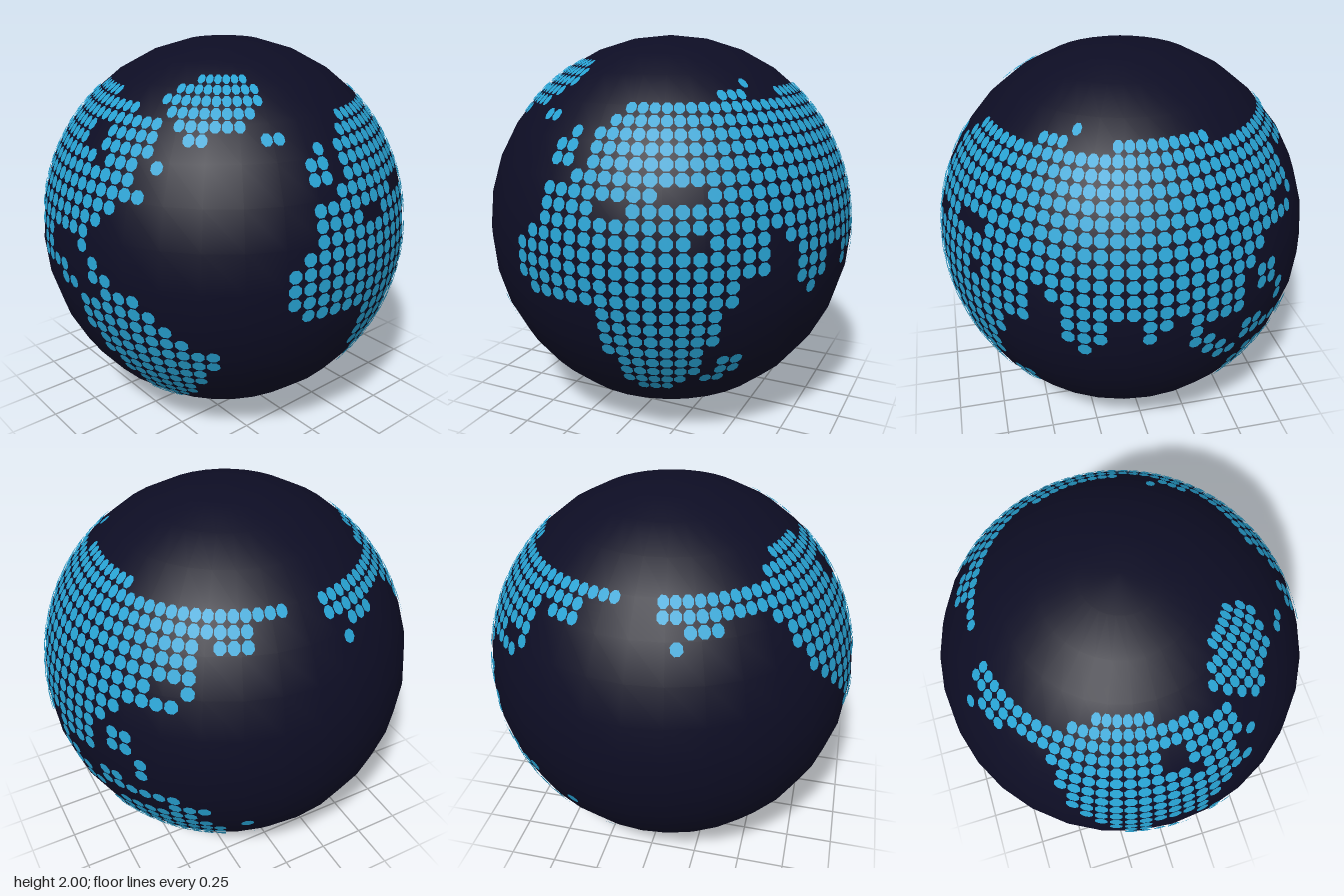
import * as THREE from 'three';
import { mergeGeometries } from 'three/addons/utils/BufferGeometryUtils.js';

const COLUMN = 360 / 82, COLUMN_START = -0.6, ROW = 4; // dot grid in degrees
const SIZE = new THREE.Vector3(0.98, 0.998, 0.984);

// Land as row number (4 degrees each, 0 = equator): flat list of longitude runs, from/to.
// Longitude is 0 at the front and 90 at +x.
const northAmerica = {
  15: [37, 60], 14: [29, 64], 13: [-27, -5, 25, 66], 12: [-34, 14, 28, 60],
  11: [-81, -4, -1, 25, 33, 55], 10: [-80, -3, 9, 25, 38, 45, 65, 68],
  9: [-72, -60, -42, -3, 9, 25], 8: [-75, -74, -37, -3, -1, 4, 12, 22, 30, 31],
  7: [-35, 4, 9, 22], 6: [-33, 25], 5: [-31, 17], 4: [-28, 13], 3: [-23, 8],
  2: [-18, -9, 8, 8], 1: [-14, -9, 12, 13], 0: [-14, -9, -5, 0, 12, 17], '-1': [-1, 4],
};
const southAmerica = {
  '-1': [17, 26], '-2': [8, 8, 12, 30], '-3': [8, 8, 13, 34], '-4': [8, 8, 13, 40],
  '-5': [13, 49], '-6': [13, 46], '-7': [17, 45], '-8': [18, 44], '-9': [21, 41],
  '-10': [21, 38], '-11': [22, 36], '-12': [19, 32], '-13': [17, 27], '-14': [17, 25], '-15': [17, 22],
};
const africa = {
  4: [83, 92], 3: [77, 116], 2: [73, 118], 1: [70, 122], 0: [70, 127], '-1': [70, 133],
  '-2': [74, 130], '-3': [96, 128], '-4': [96, 126], '-5': [96, 125], '-6': [97, 124],
  '-7': [99, 124, 132, 134], '-8': [100, 122, 131, 134], '-9': [102, 118, 128, 131], '-10': [104, 112],
};
const eurasia = {
  13: [148, 150], 12: [135, 146, 165, 200], 11: [99, 121, 128, 264], 10: [96, 250],
  9: [83, 83, 92, 232, 241, 249], 8: [79, 84, 92, 232], 7: [78, 84, 90, 232],
  6: [87, 217, 231, 232], 5: [78, 111, 127, 213, 221, 226], 4: [78, 80, 104, 208],
  3: [121, 207], 2: [125, 141, 147, 203, 212, 213], 1: [128, 141, 151, 166, 172, 200, 212, 213],
  0: [131, 138, 152, 163, 174, 179, 187, 191, 199, 200, 217, 218],
  '-1': [154, 160, 173, 175, 188, 190, 217, 218], '-2': [157, 159],
};
const oceania = {
  '-2': [190, 193, 204, 208], '-3': [192, 197, 204, 208, 216, 218, 224, 227],
  '-4': [197, 200, 227, 236], '-5': [212, 218, 222, 234], '-6': [207, 236, 249, 250],
  '-7': [204, 239], '-8': [204, 241], '-9': [205, 212, 219, 240],
  '-10': [228, 239, 254, 259], '-11': [234, 237, 251, 255], '-12': [248, 251],
};

// One flat eight-sided dot lying on the globe
function dot(lat, lon) {
  const phi = THREE.MathUtils.degToRad(lat), theta = THREE.MathUtils.degToRad(lon);
  const spacing = 0.98 * Math.cos(phi) * THREE.MathUtils.degToRad(COLUMN);
  const disc = new THREE.CircleGeometry(0.0345, 8, Math.PI / 8);
  disc.scale(Math.min(1, spacing * 0.5 / 0.0345), 1, 1);
  disc.translate(0, 0, 1.004);
  disc.rotateX(-phi);
  disc.rotateY(theta);
  disc.scale(SIZE.x, SIZE.y, SIZE.z);
  return disc;
}

function continent(name, rows, material) {
  const dots = [];
  for (const [row, runs] of Object.entries(rows)) {
    for (let i = 0; i < runs.length; i += 2) {
      const first = Math.round((runs[i] - COLUMN_START) / COLUMN);
      const last = Math.round((runs[i + 1] - COLUMN_START) / COLUMN);
      for (let c = first; c <= last; c++) dots.push(dot(row * ROW, COLUMN_START + c * COLUMN));
    }
  }
  const mesh = new THREE.Mesh(mergeGeometries(dots), material);
  mesh.name = name;
  return mesh;
}

export function createModel() {
  const oceanNavy = new THREE.MeshStandardMaterial({ color: 0x0d0d24 });
  oceanNavy.name = 'oceanNavy';
  const landBlue = new THREE.MeshStandardMaterial({ color: 0x27a2d2, });
  landBlue.name = 'landBlue';

  const model = new THREE.Group();
  model.name = 'dottedGlobe';
  const globe = new THREE.Group();
  globe.name = 'globe';
  globe.position.y = 1;
  model.add(globe);

  // Ocean ball
  const ocean = new THREE.Mesh(new THREE.SphereGeometry(1, 32, 16), oceanNavy);
  ocean.name = 'ocean';
  ocean.scale.copy(SIZE);
  globe.add(ocean);

  // Dotted land
  const land = { northAmerica, southAmerica, africa, eurasia, oceania };
  for (const [name, rows] of Object.entries(land)) globe.add(continent(name, rows, landBlue));
  return model;
}
